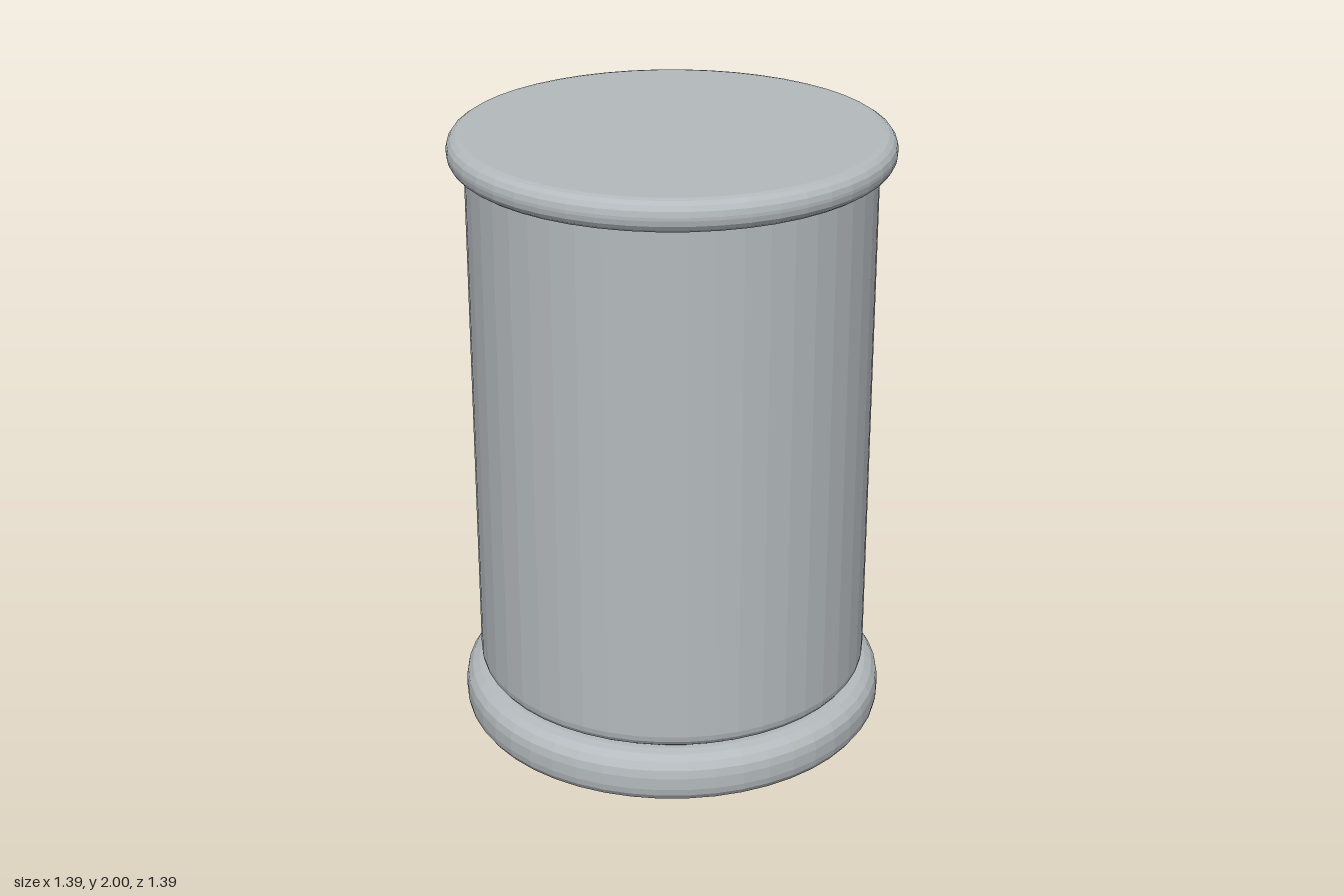
import * as THREE from 'three';

const SIDES = 48;

// Solid disc or drum with rounded rims, turned around the y axis
function roundedDrum(name, radius, y0, y1, bottomRound, topRound, material) {
  const steps = 4;
  const profile = [new THREE.Vector2(0, y0)];
  for (let i = 0; i <= steps; i++) {
    const a = (i / steps) * Math.PI / 2;
    profile.push(new THREE.Vector2(
      radius - bottomRound * (1 - Math.sin(a)), y0 + bottomRound * (1 - Math.cos(a))));
  }
  for (let i = 0; i <= steps; i++) {
    const a = (i / steps) * Math.PI / 2;
    profile.push(new THREE.Vector2(
      radius - topRound * (1 - Math.cos(a)), y1 - topRound * (1 - Math.sin(a))));
  }
  profile.push(new THREE.Vector2(0, y1));
  const mesh = new THREE.Mesh(new THREE.LatheGeometry(profile, SIDES), material);
  mesh.name = name;
  return mesh;
}

export function createModel() {
  const group = new THREE.Group();
  group.name = 'canister';
  const grey = new THREE.MeshStandardMaterial({ color: 0xb4babd, flatShading: true });
  grey.name = 'pale grey';

  group.add(
    roundedDrum('base', 0.693, 0, 0.17, 0.06, 0.07, grey),
    roundedDrum('body', 0.64, 0.17, 1.92, 0.05, 0.01, grey),
    roundedDrum('lid', 0.693, 1.9, 2, 0.045, 0.045, grey),
  );
  return group;
}
